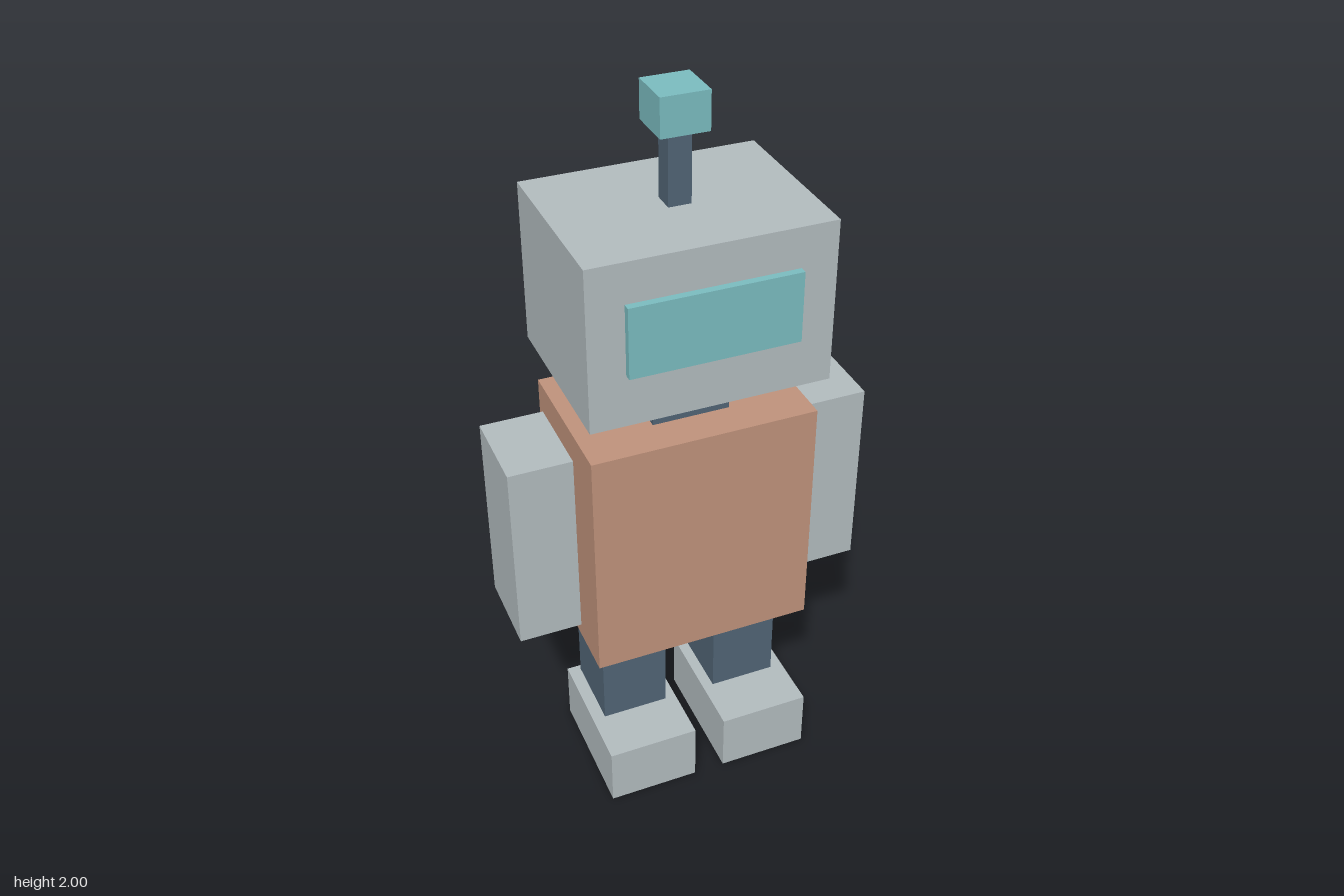
import * as THREE from 'three';

const material = (name, color) => {
  const m = new THREE.MeshStandardMaterial({ color });
  m.name = name;
  return m;
};

export function createModel() {
  const robot = new THREE.Group();
  robot.name = 'robot';

  const grey = material('light grey metal', 0xb5bec1);
  const copper = material('copper', 0xc2947d);
  const slate = material('dark slate', 0x526677);
  const teal = material('teal glow', 0x7cbec2);

  // Box from its lower and upper limits on each axis
  const box = (name, mat, [x0, x1], [y0, y1], [z0, z1]) => {
    const mesh = new THREE.Mesh(new THREE.BoxGeometry(x1 - x0, y1 - y0, z1 - z0), mat);
    mesh.position.set((x0 + x1) / 2, (y0 + y1) / 2, (z0 + z1) / 2);
    mesh.name = name;
    robot.add(mesh);
  };

  // Body and neck
  box('torso', copper, [-0.307, 0.307], [0.475, 1.155], [-0.215, 0.197]);
  box('neck', slate, [-0.105, 0.105], [1.155, 1.27], [-0.115, 0.095]);

  // Head with visor and antenna
  box('head', grey, [-0.317, 0.317], [1.27, 1.71], [-0.25, 0.228]);
  box('visor', teal, [-0.222, 0.222], [1.412, 1.602], [0.21, 0.248]);
  box('antennaStem', slate, [-0.03, 0.03], [1.71, 1.9], [-0.041, 0.019]);
  box('antennaTip', teal, [-0.063, 0.063], [1.9, 2], [-0.075, 0.052]);

  // Mirrored limbs
  for (const [side, s] of [['left', 1], ['right', -1]]) {
    const span = (a, b) => (s > 0 ? [a, b] : [-b, -a]);
    box(side + 'Arm', grey, span(0.324, 0.495), [0.565, 1.112], [-0.13, 0.108]);
    box(side + 'Leg', slate, span(0.075, 0.263), [0.175, 0.475], [-0.115, 0.095]);
    box(side + 'Foot', grey, span(0.044, 0.299), [0, 0.175], [-0.13, 0.245]);
  }

  return robot;
}
